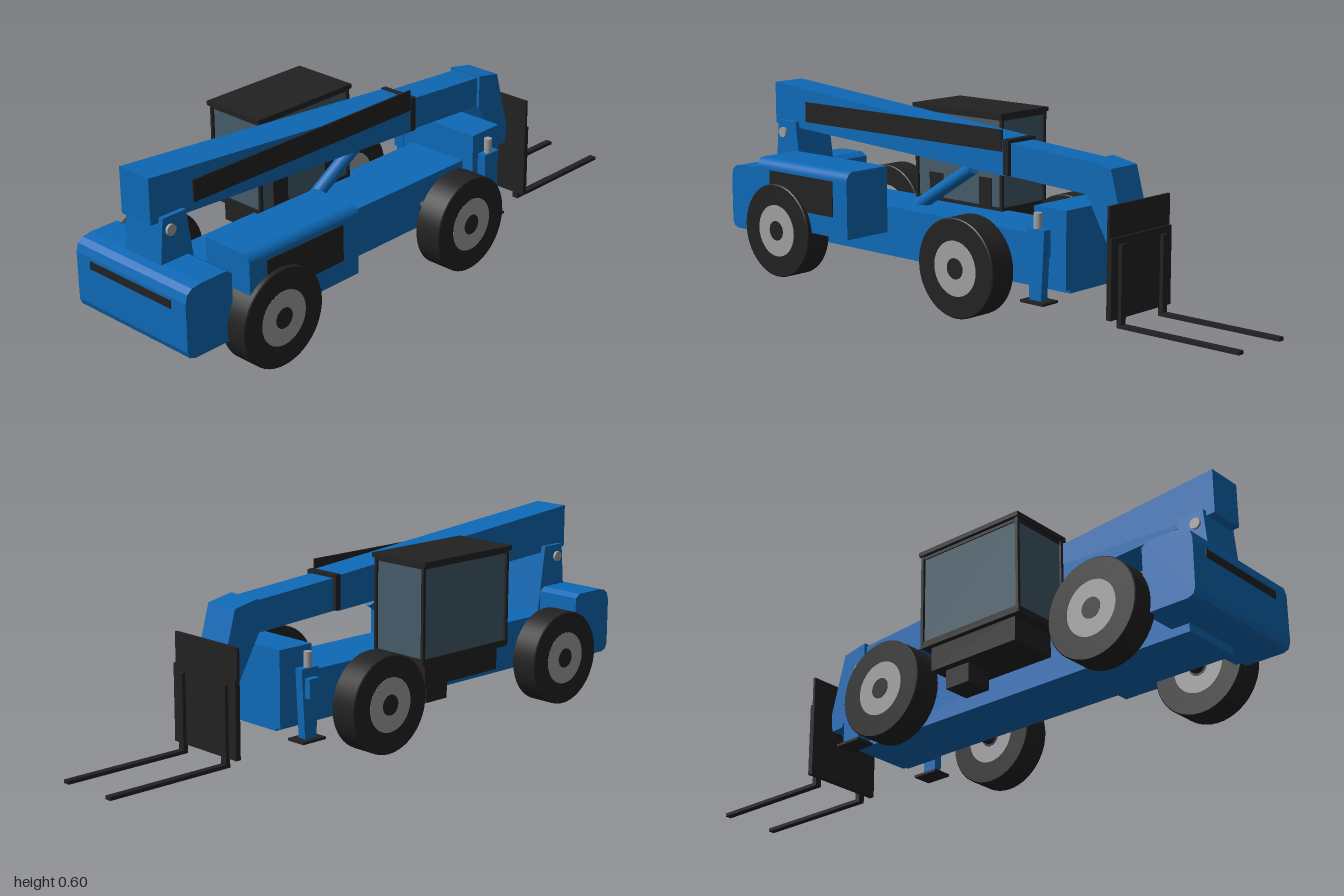
import * as THREE from 'three';

const material = (name, color) => {
  const m = new THREE.MeshStandardMaterial({ color });
  m.name = name;
  return m;
};

export function createModel() {
  const blue = material('blue paint', 0x0e69b6);
  const black = material('black', 0x222222);
  const grey = material('steel grey', 0xa0a0a2);
  const glass = material('cab glass', 0x445b69);

  const model = new THREE.Group();
  model.name = 'telescopicHandler';

  const add = (name, geometry, mat, parent = model) => {
    const mesh = new THREE.Mesh(geometry, mat);
    mesh.name = name;
    parent.add(mesh);
    return mesh;
  };
  // Box given by its limits on each axis
  const box = (name, mat, [x0, x1], [y0, y1], [z0, z1], parent) => {
    const g = new THREE.BoxGeometry(x1 - x0, y1 - y0, z1 - z0);
    g.translate((x0 + x1) / 2, (y0 + y1) / 2, (z0 + z1) / 2);
    return add(name, g, mat, parent);
  };
  // Side profile (x, y) extruded from z0 to z1
  const slab = (name, mat, points, z0, z1) => {
    const shape = new THREE.Shape(points.map(([x, y]) => new THREE.Vector2(x, y)));
    const g = new THREE.ExtrudeGeometry(shape, { depth: z1 - z0, bevelEnabled: false });
    g.translate(0, 0, z0);
    return add(name, g, mat);
  };
  // Cylinder between two points
  const rod = (name, mat, a, b, radius, parent) => {
    const from = new THREE.Vector3(...a), to = new THREE.Vector3(...b);
    const dir = to.clone().sub(from);
    const mesh = add(name, new THREE.CylinderGeometry(radius, radius, dir.length(), 32), mat, parent);
    mesh.position.copy(from).add(to).multiplyScalar(0.5);
    mesh.quaternion.setFromUnitVectors(new THREE.Vector3(0, 1, 0), dir.normalize());
    return mesh;
  };

  // Chassis and front frame block
  box('chassis', blue, [-0.89, 0.39], [0.09, 0.25], [-0.105, 0.105]);
  box('frontFrame', blue, [0.285, 0.41], [0.108, 0.347], [-0.147, 0.147]);

  // Rear counterweight with rounded rear edges
  slab('counterweight', blue, [
    [-0.83, 0.115], [-0.83, 0.32], [-0.85, 0.333], [-0.94, 0.333], [-0.975, 0.328],
    [-0.993, 0.315], [-1, 0.29], [-1, 0.14], [-0.993, 0.122], [-0.975, 0.115],
  ].reverse(), -0.23, 0.23);
  box('rearVent', black, [-1.002, -0.995], [0.255, 0.28], [-0.17, 0.17]);

  // Engine housing with a rounded upper outer edge
  const hood = new THREE.Shape();
  hood.moveTo(0.105, 0.165);
  hood.lineTo(0.28, 0.165);
  hood.lineTo(0.28, 0.35);
  hood.absarc(0.25, 0.35, 0.03, 0, Math.PI / 2, false);
  hood.lineTo(0.105, 0.38);
  const hoodGeometry = new THREE.ExtrudeGeometry(hood, { depth: 0.43, bevelEnabled: false, curveSegments: 10 });
  hoodGeometry.rotateY(-Math.PI / 2);
  hoodGeometry.scale(1, 1, 1);
  hoodGeometry.translate(-0.38, 0, 0);
  add('engineHousing', hoodGeometry, blue);
  box('engineGrille', black, [-0.745, -0.445], [0.23, 0.345], [0.277, 0.283]);

  // Wheels and axles
  const tyreProfile = [[0.08, -0.046], [0.15, -0.046], [0.153, -0.043], [0.153, 0.043], [0.15, 0.046], [0.08, 0.046]];
  for (const x of [-0.7, 0.105]) {
    rod('axle', black, [x, 0.153, -0.21], [x, 0.153, 0.21], 0.025);
    for (const side of [-1, 1]) {
      const wheel = new THREE.Group();
      wheel.name = 'wheel';
      wheel.position.set(x, 0.153, side * 0.251);
      model.add(wheel);
      const segments = tyreProfile.slice(0, -1).map((p, i) => [p, tyreProfile[i + 1]]);
      for (const pair of segments) {
        const g = new THREE.LatheGeometry(pair.map(([r, h]) => new THREE.Vector2(r, h)), 48);
        g.rotateX(Math.PI / 2);
        add('tyre', g, black, wheel);
      }
      rod('rim', grey, [0, 0, -0.0465], [0, 0, 0.0465], 0.085, wheel);
      rod('hub', black, [0, 0, -0.0475], [0, 0, 0.0475], 0.032, wheel);
    }
  }

  // Boom pivot
  slab('boomPivot', blue, [[-0.955, 0.25], [-0.82, 0.25], [-0.85, 0.47], [-0.935, 0.47]], -0.075, 0.075);
  rod('pivotPin', grey, [-0.91, 0.43, -0.083], [-0.91, 0.43, 0.083], 0.017);

  // Telescopic boom, its hose cover and collar
  slab('outerBoom', blue, [[-0.965, 0.455], [0.095, 0.398], [0.095, 0.508], [-0.965, 0.595]], -0.06, 0.06);
  slab('innerBoom', blue, [[0.08, 0.4], [0.43, 0.38], [0.43, 0.478], [0.08, 0.502]], -0.05, 0.05);
  slab('boomCollar', black, [[0.085, 0.402], [0.105, 0.401], [0.105, 0.511], [0.085, 0.512]], -0.062, 0.064);
  box('hoseCover', black, [-0.81, 0.08], [0.473, 0.54], [0.059, 0.065]);
  slab('boomHead', blue, [
    [0.415, 0.38], [0.51, 0.215], [0.552, 0.213], [0.562, 0.26], [0.503, 0.47], [0.415, 0.487],
  ], -0.06, 0.06);
  rod('liftCylinder', blue, [-0.34, 0.245, 0], [-0.1, 0.395, 0], 0.022);

  // Fork carriage and forks
  box('carriageUpper', black, [0.557, 0.566], [0.28, 0.38], [-0.14, 0.14]);
  box('carriageLower', black, [0.557, 0.574], [0.045, 0.286], [-0.14, 0.14]);
  for (const side of [-1, 1]) {
    const z = [side * 0.097 - 0.011, side * 0.097 + 0.011];
    box('forkUpright', black, [0.57, 0.586], [0.018, 0.266], z);
    box('forkTine', black, [0.57, 1], [0.018, 0.029], z);
  }

  // Stabiliser legs
  for (const side of [-1, 1]) {
    const z = side * 0.175;
    slab('stabiliserLeg', blue, [[0.305, 0.073], [0.35, 0.073], [0.362, 0.288], [0.295, 0.288]], z - 0.014, z + 0.014);
    rod('stabiliserRam', grey, [0.325, 0.28, z], [0.325, 0.335, z], 0.0125);
    box('stabiliserFoot', black, [0.285, 0.375], [0.066, 0.074], [z - 0.033, z + 0.033]);
    box('stabiliserMount', blue, [0.31, 0.35], [0.2, 0.26], [z - 0.035, z + 0.012]);
  }

  // Operator cab
  box('cabWindows', glass, [-0.422, -0.053], [0.25, 0.54], [-0.276, -0.082]);
  box('cabRoof', black, [-0.435, -0.043], [0.548, 0.562], [-0.291, -0.067]);
  box('cabRoofLining', black, [-0.425, -0.05], [0.538, 0.55], [-0.28, -0.078]);
  box('cabFloor', black, [-0.428, -0.047], [0.24, 0.26], [-0.283, -0.075]);
  box('cabBase', black, [-0.4, -0.075], [0.165, 0.245], [-0.265, -0.1]);
  box('cabStep', black, [-0.2, -0.11], [0.105, 0.17], [-0.24, -0.15]);
  for (const x of [-0.424, -0.051]) {
    for (const z of [-0.279, -0.079]) {
      box('cabPost', black, [x - 0.005, x + 0.005], [0.25, 0.55], [z - 0.005, z + 0.005]);
    }
  }
  box('cabSidePanel', black, [-0.37, -0.31], [0.25, 0.34], [-0.083, -0.079]);
  box('cabSidePanel', black, [-0.15, -0.095], [0.25, 0.35], [-0.083, -0.079]);

  return model;
}
